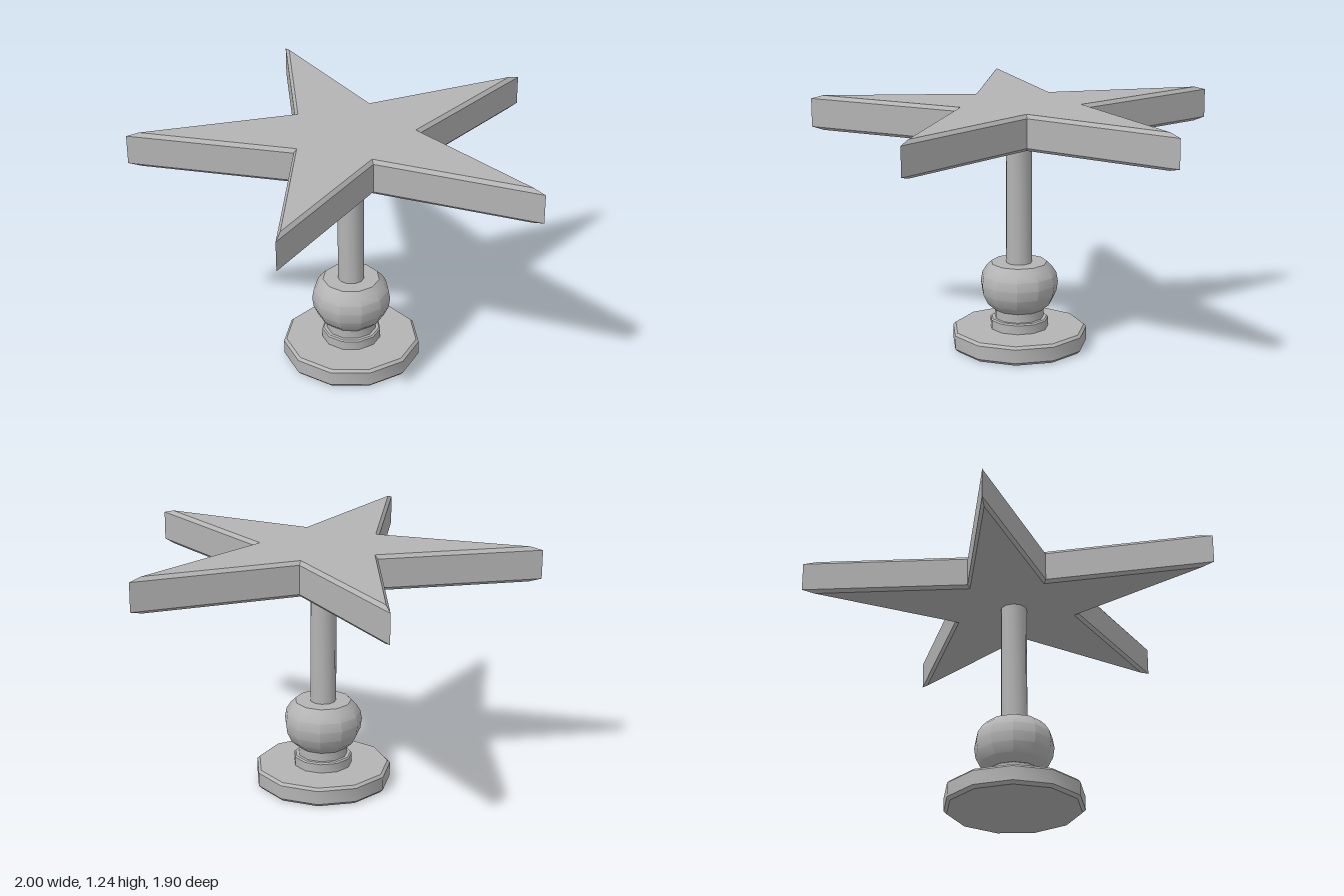
import * as THREE from 'three';
import { toCreasedNormals } from 'three/addons/utils/BufferGeometryUtils.js';

const AXIS_Z = 0.1;   // every part shares one vertical axis
const SIDES = 11;

// Turned part from a bottom-to-top [radius, height] profile
function turned(name, profile, material) {
  const points = profile.map(([r, y]) => new THREE.Vector2(r, y));
  const lathe = new THREE.LatheGeometry(points, SIDES, THREE.MathUtils.degToRad(3));
  const mesh = new THREE.Mesh(toCreasedNormals(lathe, 0.6), material);
  mesh.name = name;
  return mesh;
}

// Five-pointed slab with mitred chamfers, lofted through star-shaped rings
function starGeometry() {
  const rings = [ // [height, tip radius, notch radius]
    [1.065, 0.988, 0.307],
    [1.08, 1.05, 0.325],
    [1.222, 1.05, 0.325],
    [1.24, 0.988, 0.307],
  ];
  const n = 10, positions = [], index = [];
  for (const [y, tip, notch] of rings) {
    for (let i = 0; i < n; i++) {
      const a = (i / n) * Math.PI * 2, r = i % 2 ? tip : notch;
      positions.push(Math.sin(a) * r, y, Math.cos(a) * r);
    }
  }
  const bottom = rings.length * n, top = bottom + 1, last = bottom - n;
  positions.push(0, rings[0][0], 0, 0, rings[rings.length - 1][0], 0);
  for (let i = 0; i < n; i++) {
    const j = (i + 1) % n;
    for (let k = 0; k < last; k += n) {
      index.push(k + i, k + j, k + n + j, k + i, k + n + j, k + n + i);
    }
    index.push(bottom, j, i, top, last + i, last + j);
  }
  const indexed = new THREE.BufferGeometry();
  indexed.setAttribute('position', new THREE.Float32BufferAttribute(positions, 3));
  indexed.setIndex(index);
  const geometry = indexed.toNonIndexed();
  geometry.computeVertexNormals();
  return geometry;
}

export function createModel() {
  const grey = new THREE.MeshStandardMaterial({ color: 0xb4b4b4 });
  grey.name = 'grey';
  const model = new THREE.Group();
  model.name = 'starTable';

  // Foot and pedestal
  model.add(
    turned('base', [[0, 0.003], [0.325, 0.003], [0.34, 0.018], [0.34, 0.087], [0.327, 0.1], [0, 0.1]], grey),
    turned('collar', [[0, 0.09], [0.146, 0.09], [0.146, 0.145], [0.139, 0.152], [0, 0.152]], grey),
    turned('neck', [[0.123, 0.14], [0.123, 0.205]], grey),
    turned('ball', [[0, 0.197], [0.125, 0.197], [0.165, 0.232], [0.188, 0.28], [0.195, 0.33],
      [0.187, 0.375], [0.165, 0.41], [0.14, 0.435], [0, 0.435]], grey),
    turned('post', [[0.065, 0.42], [0.065, 1.07]], grey),
  );

  // Table top
  const top = new THREE.Mesh(starGeometry(), grey);
  top.name = 'starTop';
  model.add(top);

  for (const part of model.children) part.position.z = AXIS_Z;
  return model;
}
